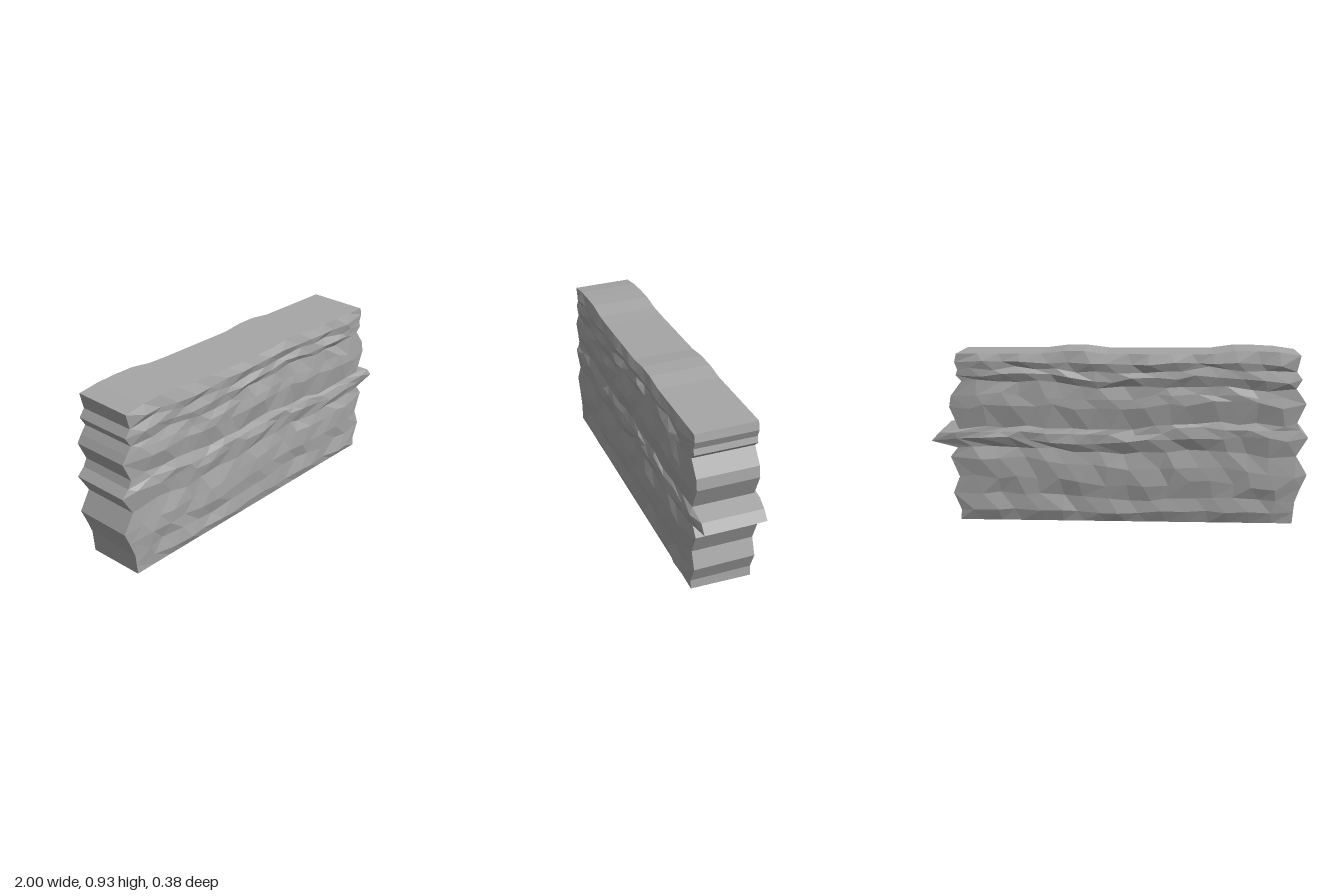
import * as THREE from 'three';

// Courses from bottom to top: left end x, y, right end x, y, face depth z
const COURSES = [
  [-0.93, 0.008, 0.855, 0.008, 0.160],
  [-0.935, 0.06, 0.85, 0.055, 0.180],
  [-0.94, 0.12, 0.89, 0.15, 0.172],
  [-0.97, 0.20, 0.855, 0.24, 0.184],
  [-1.00, 0.27, 0.90, 0.35, 0.184],
  [-0.94, 0.37, 0.86, 0.40, 0.170],
  [-1.00, 0.47, 1.00, 0.435, 0.186],
  [-0.96, 0.51, 0.96, 0.48, 0.182],
  [-0.94, 0.55, 0.85, 0.50, 0.169],
  [-0.985, 0.65, 0.90, 0.62, 0.185],
  [-0.96, 0.69, 0.89, 0.68, 0.180],
  [-0.93, 0.73, 0.83, 0.76, 0.170],
  [-0.96, 0.78, 0.86, 0.79, 0.184],
  [-0.93, 0.82, 0.85, 0.82, 0.171],
  [-0.94, 0.86, 0.865, 0.86, 0.182],
  [-0.95, 0.90, 0.855, 0.90, 0.162],
];
// Uneven top edge
const CREST = [[-0.95, 0.9], [-0.8, 0.922], [-0.6, 0.922], [-0.48, 0.903],
  [0.1, 0.903], [0.24, 0.928], [0.36, 0.903], [0.855, 0.9]];
const COLUMNS = 16;

function seeded(seed) {
  return () => {
    seed = (seed * 16807) % 2147483647;
    return seed / 2147483647;
  };
}

function crestHeight(x) {
  for (let i = 1; i < CREST.length; i++) {
    const [x0, y0] = CREST[i - 1], [x1, y1] = CREST[i];
    if (x <= x1) return y0 + (y1 - y0) * Math.max(0, (x - x0) / (x1 - x0));
  }
  return 0.9;
}

// Grid of points over one broad face; side is 1 for front, -1 for back
function facePoints(side, seed) {
  const random = seeded(seed);
  const jitter = (amount) => (random() * 2 - 1) * amount;
  const last = COURSES.length - 1;
  return COURSES.map(([lx, ly, rx, ry, depth], j) => {
    const row = [];
    const border = j === 0 || j === last;
    for (let i = 0; i <= COLUMNS; i++) {
      const end = i === 0 || i === COLUMNS;
      let u = i / COLUMNS;
      if (!end && !border) u += ((j % 2 ? 0.25 : -0.25) + jitter(0.2)) / COLUMNS;
      let x = lx + (rx - lx) * u;
      let y = ly + (ry - ly) * u;
      let z = depth;
      if (end) {
        z = 0.162;
      } else if (!border) {
        // Stones wander in height and dip where they meet their neighbour
        const room = Math.min(1, j / 2, (last - j) / 2);
        y += 0.014 * room * Math.sin(u * 11 + side * 1.3) + jitter(0.013) * room;
        z += jitter(0.004);
        if ((i + j * 2) % 3 === 0) z -= 0.009;
      }
      if (j === last) y = crestHeight(x) + (side < 0 ? 0.005 : 0);
      if (j === 0 && side < 0) y = 0;
      row.push(new THREE.Vector3(x, y, side * z));
    }
    return row;
  });
}

// Faceted surface through rows of points
function surface(rows, flip, name, material) {
  const positions = [];
  const triangle = (a, b, c) => {
    for (const p of flip ? [a, c, b] : [a, b, c]) positions.push(p.x, p.y, p.z);
  };
  for (let j = 0; j < rows.length - 1; j++) {
    for (let i = 0; i < rows[j].length - 1; i++) {
      const a = rows[j][i], b = rows[j][i + 1];
      const c = rows[j + 1][i + 1], d = rows[j + 1][i];
      if (j % 2) {
        triangle(a, b, c);
        triangle(a, c, d);
      } else {
        triangle(a, b, d);
        triangle(b, c, d);
      }
    }
  }
  const geometry = new THREE.BufferGeometry();
  geometry.setAttribute('position', new THREE.Float32BufferAttribute(positions, 3));
  geometry.computeVertexNormals();
  const mesh = new THREE.Mesh(geometry, material);
  mesh.name = name;
  return mesh;
}

export function createModel() {
  const stone = new THREE.MeshStandardMaterial({ color: 0xa6a6a6, flatShading: true });
  stone.name = 'grey stone';

  const front = facePoints(1, 1207);
  const back = facePoints(-1, 8831);
  const top = COURSES.length - 1;
  const endRows = (i) => front.map((row, j) => [row[i], back[j][i]]);

  const wall = new THREE.Group();
  wall.name = 'stoneWall';
  wall.add(
    // Layered stone faces
    surface(front, false, 'frontFace', stone),
    surface(back, true, 'backFace', stone),
    // Jagged broken ends
    surface(endRows(COLUMNS), false, 'leftEnd', stone),
    surface(endRows(0), true, 'rightEnd', stone),
    // Top and base
    surface([front[top], back[top]], false, 'topFace', stone),
    surface([front[0], back[0]], true, 'baseFace', stone),
  );
  return wall;
}
